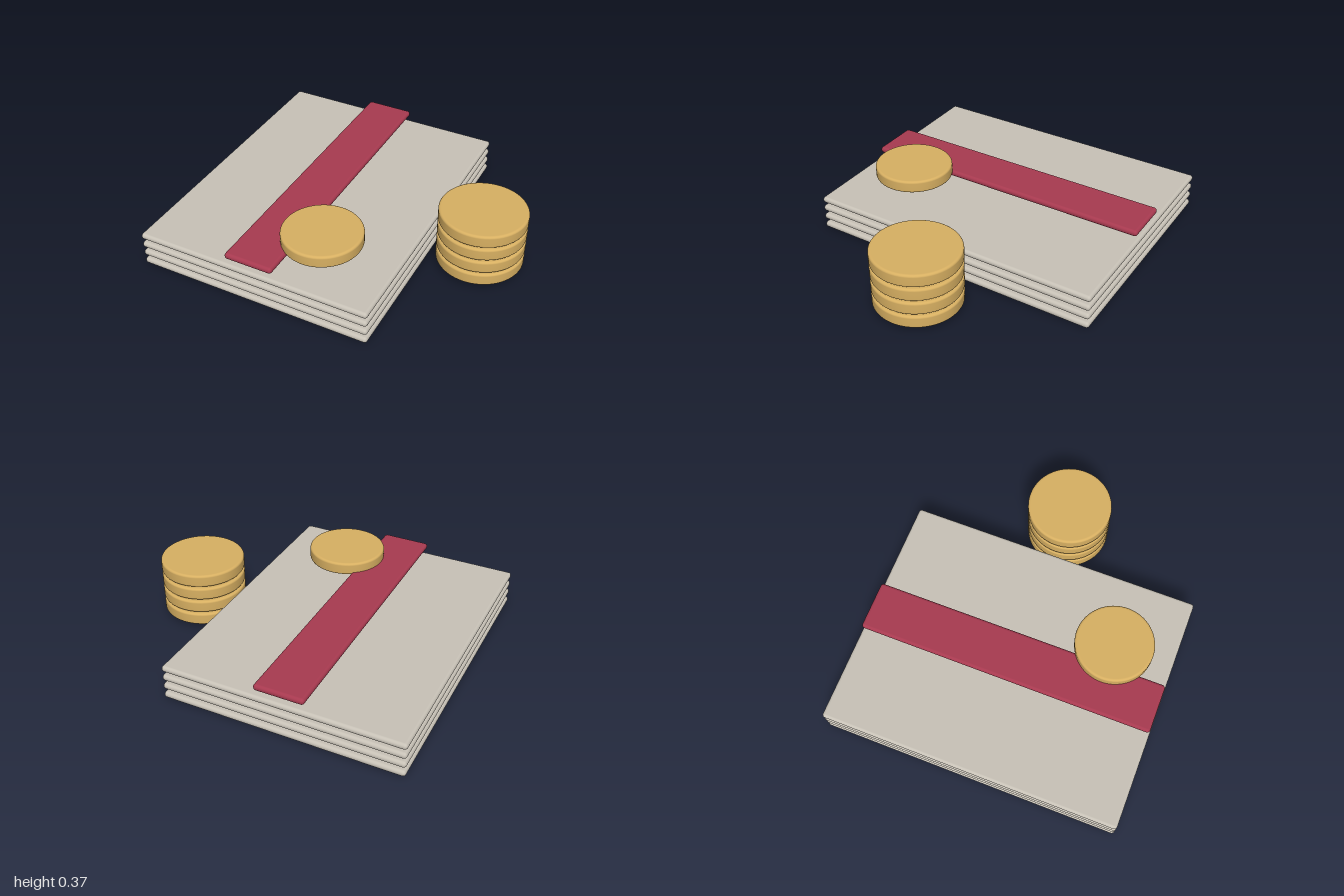
import * as THREE from 'three';
import { RoundedBoxGeometry } from 'three/addons/geometries/RoundedBoxGeometry.js';

const material = (name, color) => {
  const m = new THREE.MeshStandardMaterial({ color });
  m.name = name;
  return m;
};

// Disc with softly rounded rims, standing on its own base
function coinGeometry(radius, height, bevel = 0.013) {
  const pts = [new THREE.Vector2(0, 0), new THREE.Vector2(radius - bevel - 0.003, 0)];
  for (const [cy, start] of [[bevel, -Math.PI / 2], [height - bevel, 0]]) {
    for (let i = 0; i <= 4; i++) {
      const a = start + (i / 4) * (Math.PI / 2);
      pts.push(new THREE.Vector2(radius - bevel + bevel * Math.cos(a), cy + bevel * Math.sin(a)));
    }
  }
  pts.push(new THREE.Vector2(radius - bevel - 0.003, height), new THREE.Vector2(0, height));
  return new THREE.LatheGeometry(pts, 64);
}

export function createModel() {
  const model = new THREE.Group();
  model.name = 'sheetsAndCoins';
  const paper = material('warm grey', 0xc8c2b7);
  const red = material('crimson', 0xa83a50);
  const gold = material('gold', 0xd8b062);

  const add = (parent, name, geometry, mat, x, y, z) => {
    const mesh = new THREE.Mesh(geometry, mat);
    mesh.name = name;
    mesh.position.set(x, y, z);
    parent.add(mesh);
  };

  // Turned bundle: four spaced sheets with a band on top
  const bundle = new THREE.Group();
  bundle.name = 'bundle';
  bundle.position.x = -0.217;
  bundle.rotation.y = 0.1;
  model.add(bundle);
  const sheet = new RoundedBoxGeometry(1.4, 0.037, 1.76, 4, 0.018);
  for (let i = 0; i < 4; i++) add(bundle, `sheet${i + 1}`, sheet, paper, 0, 0.0185 + i * 0.0577, 0);
  add(bundle, 'band', new RoundedBoxGeometry(0.29, 0.038, 1.75, 4, 0.018), red, -0.002, 0.261, 0);

  // Coin stack beside the bundle
  const stack = new THREE.Group();
  stack.name = 'coinStack';
  stack.position.set(0.751, 0.026, -0.105);
  model.add(stack);
  const coin = coinGeometry(0.249, 0.075);
  for (let i = 0; i < 4; i++) add(stack, `coin${i + 1}`, coin, gold, 0, i * 0.088, 0);

  // Single coin resting on the band
  add(model, 'looseCoin', coinGeometry(0.228, 0.074), gold, 0.093, 0.265, 0.497);
  return model;
}
